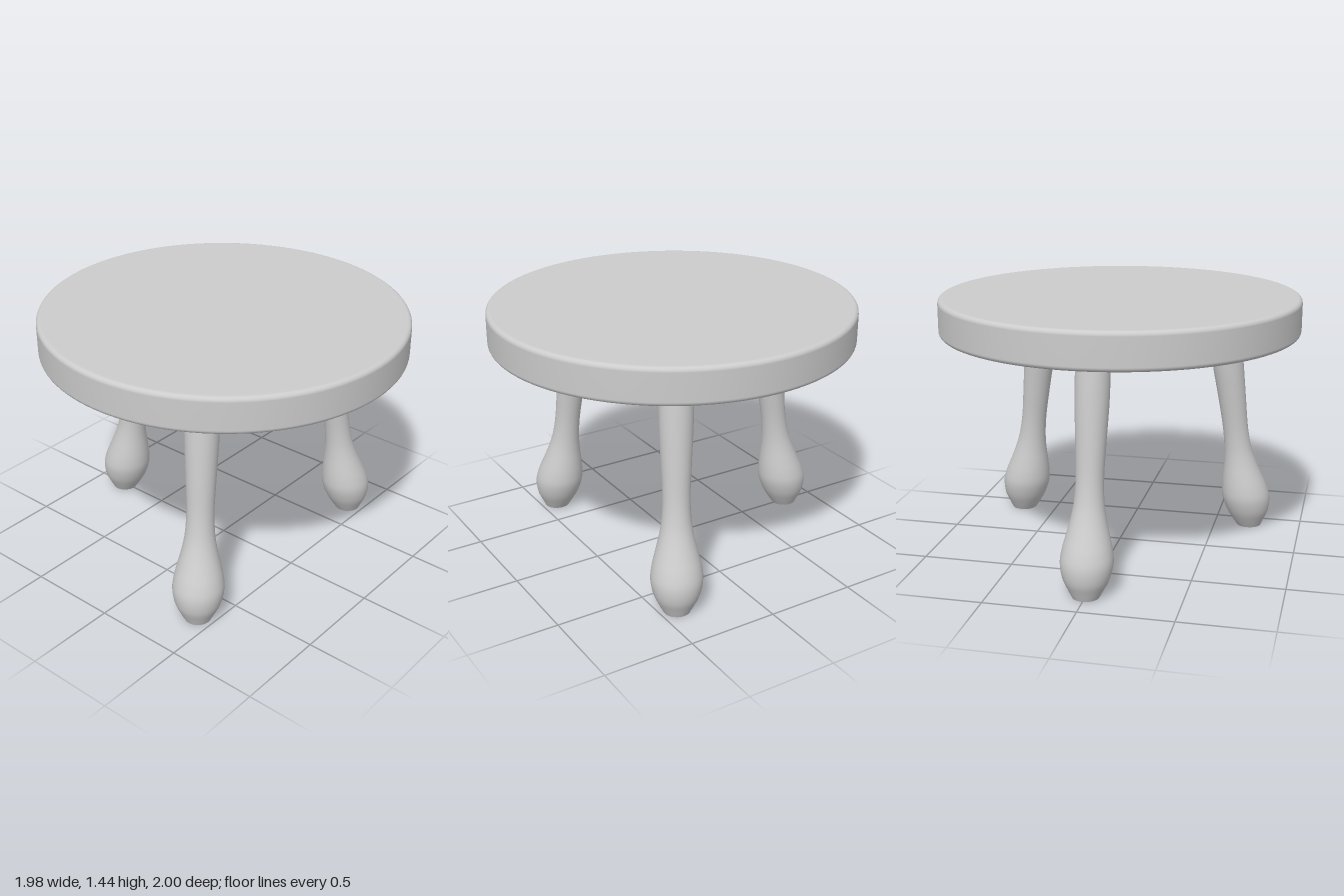
import * as THREE from 'three';
import { mergeVertices } from 'three/addons/utils/BufferGeometryUtils.js';

const TOP = 1.436, BOTTOM = 1.236, EDGE = 0.025;

// Round slab with softly rounded rims
function seatGeometry() {
  const points = [new THREE.Vector2(0, BOTTOM), new THREE.Vector2(0.95, BOTTOM)];
  for (const [y, start] of [[BOTTOM + EDGE, -Math.PI / 2], [TOP - EDGE, 0]]) {
    for (let i = 0; i <= 6; i++) {
      const a = start + (i / 6) * (Math.PI / 2);
      points.push(new THREE.Vector2(1 - EDGE + EDGE * Math.cos(a), y + EDGE * Math.sin(a)));
    }
  }
  points.push(new THREE.Vector2(0.95, TOP), new THREE.Vector2(0, TOP));
  return new THREE.LatheGeometry(points, 96);
}

// Height, radius and outward distance of the leg's centre line
const legSections = [
  [0, 0.072, 0.808], [0.04, 0.094, 0.803], [0.1, 0.123, 0.797], [0.18, 0.139, 0.785],
  [0.25, 0.131, 0.772], [0.32, 0.114, 0.757], [0.4, 0.094, 0.741], [0.48, 0.08, 0.726],
  [0.6, 0.073, 0.707], [0.8, 0.08, 0.678], [1.0, 0.089, 0.648], [1.15, 0.09, 0.629],
  [1.26, 0.087, 0.616],
];

// Turned profile whose rings are shifted outward, so the foot stays level
function legGeometry() {
  const profile = new THREE.CatmullRomCurve3(legSections.map(([y, r, d]) => new THREE.Vector3(r, y, d)));
  const samples = profile.getPoints(48);
  const lathe = new THREE.LatheGeometry(samples.map((p) => new THREE.Vector2(p.x, p.y)), 32);
  const pos = lathe.attributes.position;
  for (let i = 0; i < pos.count; i++) {
    pos.setZ(i, pos.getZ(i) + samples[i % samples.length].z);
  }
  lathe.deleteAttribute('normal');
  lathe.deleteAttribute('uv');
  const leg = mergeVertices(lathe);
  leg.computeVertexNormals();
  return leg;
}

export function createModel() {
  const model = new THREE.Group();
  model.name = 'stool';
  const grey = new THREE.MeshStandardMaterial({ color: 0xcccccc });
  grey.name = 'light grey';

  const seat = new THREE.Mesh(seatGeometry(), grey);
  seat.name = 'seat';
  seat.scale.x = 0.988;
  model.add(seat);

  // Three splayed legs, one at the back and two at the front
  const legGeo = legGeometry();
  const soleGeo = new THREE.CircleGeometry(0.072, 32).rotateX(Math.PI / 2).translate(0, 0, 0.808);
  ['backLeg', 'frontRightLeg', 'frontLeftLeg'].forEach((name, i) => {
    const leg = new THREE.Group();
    leg.name = name;
    const post = new THREE.Mesh(legGeo, grey);
    post.name = 'turnedPost';
    const sole = new THREE.Mesh(soleGeo, grey);
    sole.name = 'sole';
    leg.add(post, sole);
    leg.rotation.y = Math.PI + (i * Math.PI * 2) / 3;
    model.add(leg);
  });
  return model;
}
